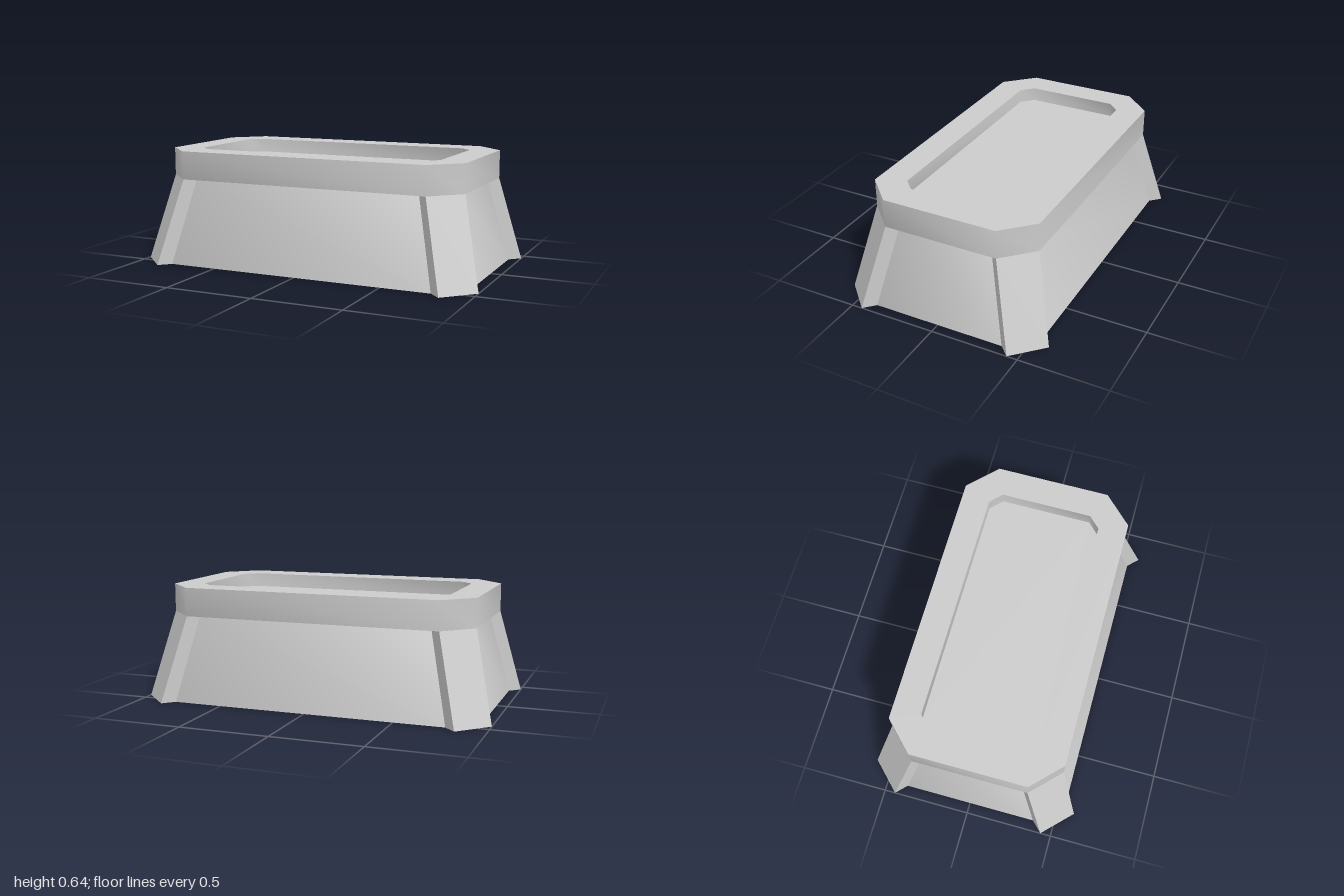
import * as THREE from 'three';
import { toCreasedNormals } from 'three/addons/utils/BufferGeometryUtils.js';

const material = new THREE.MeshStandardMaterial({ color: 0xcccccc });

// Rectangle with chamfered corners, running from +x towards +z
function octagon(hx, hz, c, y) {
  return [
    [hx, hz - c], [hx - c, hz], [c - hx, hz], [-hx, hz - c],
    [-hx, c - hz], [c - hx, -hz], [hx - c, -hz], [hx, c - hz],
  ].map(([x, z]) => [x, y, z]);
}

// Skin through matching rings, closed with flat caps at both ends
function loft(name, rings, crease) {
  const pos = [];
  const tri = (a, b, c) => pos.push(...a, ...b, ...c);
  const n = rings[0].length;
  for (let r = 0; r < rings.length - 1; r++) {
    const lo = rings[r], hi = rings[r + 1];
    for (let i = 0; i < n; i++) {
      const j = (i + 1) % n;
      tri(lo[i], hi[i], hi[j]);
      tri(lo[i], hi[j], lo[j]);
    }
  }
  const first = rings[0], last = rings[rings.length - 1];
  for (let i = 1; i < n - 1; i++) {
    tri(first[0], first[i], first[i + 1]);
    tri(last[0], last[i + 1], last[i]);
  }
  const geo = new THREE.BufferGeometry();
  geo.setAttribute('position', new THREE.Float32BufferAttribute(pos, 3));
  geo.computeVertexNormals();
  const mesh = new THREE.Mesh(toCreasedNormals(geo, crease), material);
  mesh.name = name;
  return mesh;
}

export function createModel() {
  const group = new THREE.Group();
  group.name = 'plinth';
  const H = 0.485, TOP = 0.645, FLOOR = 0.565, C = 0.16;

  // Sloping body
  group.add(loft('body', [octagon(0.94, 0.54, C, 0), octagon(0.83, 0.43, C, H)], 0.9));

  // Rim with a shallow recess in its top
  group.add(loft('rim', [
    octagon(0.885, 0.485, C, H),
    octagon(0.885, 0.485, C, TOP),
    octagon(0.725, 0.325, 0.065, TOP),
    octagon(0.725, 0.325, 0.065, FLOOR),
  ], 0.9));

  // Four leaning corner posts
  const section = (hx, hz, t, y) => [
    [hx - t, y, hz - C - t], [hx, y, hz - C], [hx - C, y, hz], [hx - C - t, y, hz - t],
  ];
  for (const sx of [1, -1]) for (const sz of [1, -1]) {
    const place = (ring) => {
      const out = ring.map(([x, y, z]) => [x * sx, y, z * sz]);
      return sx * sz < 0 ? out.reverse() : out;
    };
    const name = (sz > 0 ? 'front' : 'back') + (sx > 0 ? 'Left' : 'Right') + 'Post';
    group.add(loft(name, [
      place(section(1, 0.6, 0.06, 0)),
      place(section(0.885, 0.485, 0.055, H)),
    ], 0.3));
  }
  return group;
}
